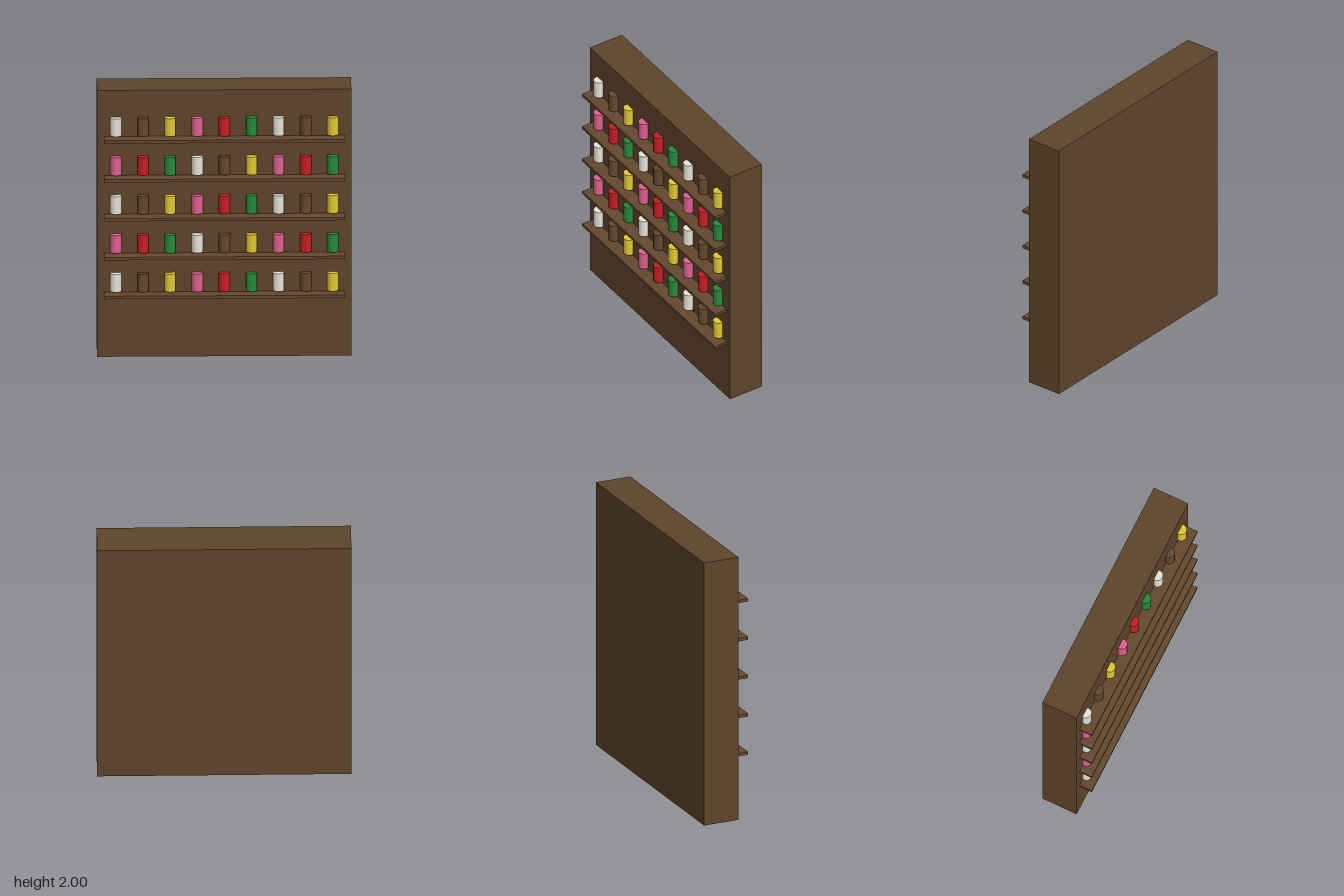
import * as THREE from 'three';

function material(name, color) {
  const m = new THREE.MeshStandardMaterial({ color });
  m.name = name;
  return m;
}

export function createModel() {
  const group = new THREE.Group();
  group.name = 'jarShelf';

  const wood = material('dark wood', 0x5f442b);
  const shelfWood = material('shelf wood', 0x64472f);
  const jarColors = [
    material('cream', 0xe6e3d6),
    material('brown', 0x65482e),
    material('yellow', 0xe0c832),
    material('pink', 0xe0608f),
    material('red', 0xc81e24),
    material('green', 0x268a3a),
  ];

  const add = (name, geometry, mat, x, y, z) => {
    const mesh = new THREE.Mesh(geometry, mat);
    mesh.name = name;
    mesh.position.set(x, y, z);
    group.add(mesh);
  };

  // Solid back cabinet
  add('cabinet', new THREE.BoxGeometry(1.814, 2, 0.272), wood, 0, 1, -0.049);

  // Five shelves, each with nine jars hovering just above it, half set into the cabinet
  const shelfGeometry = new THREE.BoxGeometry(1.72, 0.022, 0.1);
  const jarGeometry = new THREE.CylinderGeometry(0.04, 0.04, 0.134, 20);
  for (let row = 0; row < 5; row++) {
    const y = 0.475 + row * 0.292;
    add('shelf', shelfGeometry, shelfWood, 0, y, 0.135);
    for (let i = 0; i < 9; i++) {
      // The colour cycle runs on from one row to the next
      const mat = jarColors[(row * 9 + i) % jarColors.length];
      add('jar', jarGeometry, mat, (i - 4) * 0.1935, y + 0.09, 0.097);
    }
  }
  return group;
}
